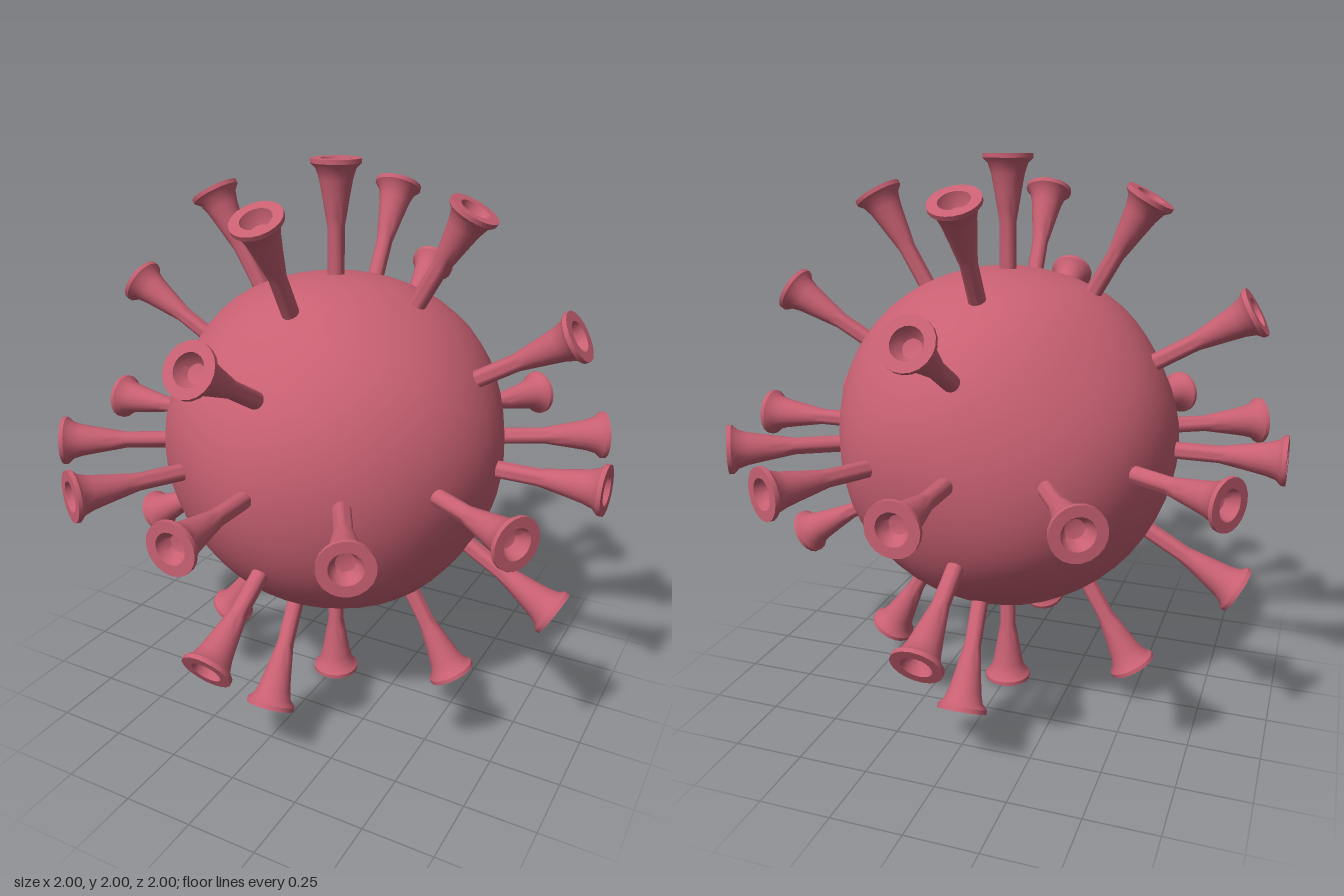
import * as THREE from 'three';
import { toCreasedNormals, mergeVertices } from 'three/addons/utils/BufferGeometryUtils.js';

const CENTRE_Y = 1;

// Slightly dented ball
function bodyGeometry() {
  let geo = new THREE.IcosahedronGeometry(1, 9);
  geo.deleteAttribute('normal');
  geo.deleteAttribute('uv');
  geo = mergeVertices(geo, 1e-4);
  const pos = geo.attributes.position;
  const v = new THREE.Vector3();
  for (let i = 0; i < pos.count; i++) {
    v.fromBufferAttribute(pos, i).normalize();
    const wave = Math.sin(4.1 * v.x + 1.3 * v.y + 0.6)
      * Math.sin(3.7 * v.y - 1.9 * v.z + 1.1)
      * Math.sin(4.3 * v.z + 1.7 * v.x + 2.0);
    v.multiplyScalar(0.622 + 0.013 * wave);
    pos.setXYZ(i, v.x, v.y, v.z);
  }
  geo.computeVertexNormals();
  return geo;
}

// Stalk with a flared trumpet end, a flat rim and a hollow cup
function spikeGeometry() {
  const profile = [
    [0.03, 0.5], [0.03, 0.77], [0.037, 0.81], [0.047, 0.87], [0.058, 0.93],
    [0.069, 0.965], [0.087, 0.983], [0.087, 0.998], [0.052, 0.998],
    [0.045, 0.975], [0.03, 0.955], [0, 0.948],
  ].map(([r, y]) => new THREE.Vector2(r, y));
  return toCreasedNormals(new THREE.LatheGeometry(profile, 20), 0.7);
}

export function createModel() {
  const model = new THREE.Group();
  model.name = 'spikedBall';
  const material = new THREE.MeshStandardMaterial({ color: 0xc86072 });

  const body = new THREE.Mesh(bodyGeometry(), material);
  body.name = 'body';
  body.position.y = CENTRE_Y;
  model.add(body);

  const spikes = new THREE.Group();
  spikes.name = 'spikes';
  spikes.position.y = CENTRE_Y;
  model.add(spikes);

  const geo = spikeGeometry();
  const up = new THREE.Vector3(0, 1, 0);
  const addSpike = (dir) => {
    const spike = new THREE.Mesh(geo, material);
    spike.name = 'spike';
    spike.quaternion.setFromUnitVectors(up, dir);
    spikes.add(spike);
  };

  // Every 30 degrees round three great circles; each circle skips one shared pair of poles
  const axes = [new THREE.Vector3(1, 0, 0), up, new THREE.Vector3(0, 0, 1)];
  for (let a = 0; a < 3; a++) {
    const first = axes[a], second = axes[(a + 1) % 3];
    for (let i = 0; i < 12; i++) {
      if (i % 6 === 3) continue;
      const t = (i * Math.PI) / 6;
      addSpike(new THREE.Vector3()
        .addScaledVector(first, Math.cos(t))
        .addScaledVector(second, Math.sin(t)).normalize());
    }
  }
  return model;
}
